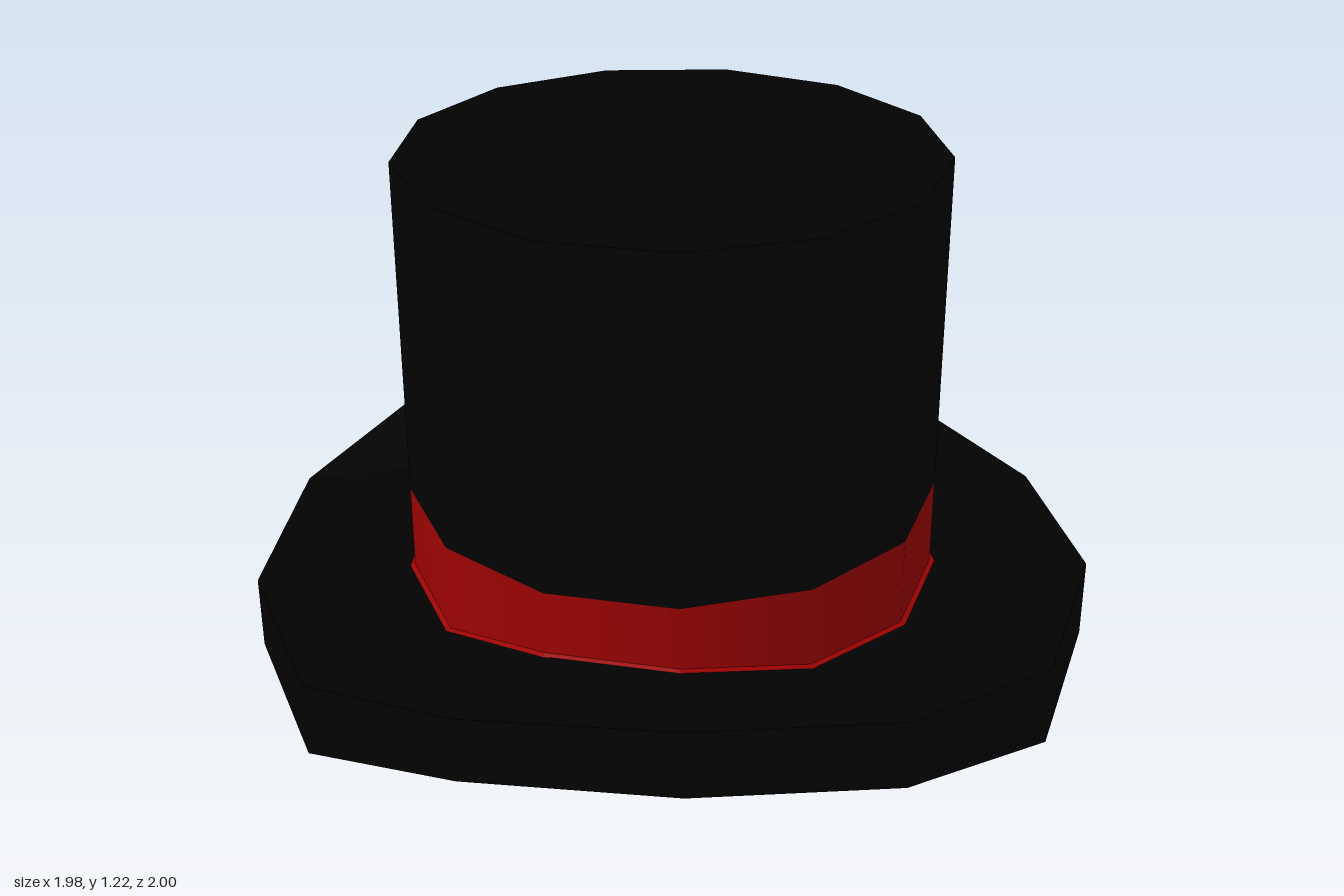
import * as THREE from 'three';

const SIDES = 13;

const black = new THREE.MeshStandardMaterial({ color: 0x020202, side: THREE.DoubleSide });
black.name = 'black felt';
const red = new THREE.MeshStandardMaterial({ color: 0x9c0202, side: THREE.DoubleSide });
red.name = 'red ribbon';

// Skin a list of rings ({ r, y: heights per side }) with faceted quads
function loftRings(rings) {
  const point = (i, k) => {
    const { r, y } = rings[i];
    const a = (k / SIDES) * Math.PI * 2;
    return [r * Math.cos(a), y[k % SIDES], r * Math.sin(a)];
  };
  const pos = [];
  for (let i = 0; i < rings.length - 1; i++) {
    for (let k = 0; k < SIDES; k++) {
      const a = point(i, k), b = point(i + 1, k), c = point(i + 1, k + 1), d = point(i, k + 1);
      pos.push(...a, ...b, ...c, ...a, ...c, ...d);
    }
  }
  const geo = new THREE.BufferGeometry();
  geo.setAttribute('position', new THREE.Float32BufferAttribute(pos, 3));
  geo.computeVertexNormals();
  return geo;
}

// Smooth upright wall whose lower edge follows the given heights per side
function wall(r, bottom, top) {
  const geo = new THREE.CylinderGeometry(r, r, 1, SIDES, 1, true, Math.PI / 2);
  const pos = geo.attributes.position;
  for (let i = 0; i <= SIDES; i++) {
    pos.setY(i, top);
    pos.setY(SIDES + 1 + i, bottom[(SIDES - i) % SIDES]);
  }
  return geo;
}

export function createModel() {
  const hat = new THREE.Group();
  hat.name = 'topHat';
  const add = (name, geo, mat) => {
    const mesh = new THREE.Mesh(geo, mat);
    mesh.name = name;
    mesh.position.x = -0.015;
    hat.add(mesh);
  };

  // Brim heights, from the +x corner round through the front; front and back curl up
  const outerTop = [0.195, 0.195, 0.285, 0.35, 0.31, 0.18, 0.18, 0.2, 0.27, 0.36, 0.305, 0.22, 0.18];
  const outerBottom = [0, 0, 0.12, 0.19, 0.155, 0, 0, 0, 0.1, 0.2, 0.16, 0.065, 0];
  const innerTop = [0.18, 0.18, 0.2, 0.24, 0.24, 0.18, 0.185, 0.19, 0.2, 0.23, 0.22, 0.18, 0.175];
  const innerBottom = [0, 0, 0, 0.05, 0.05, 0, 0, 0, 0, 0.05, 0.05, 0, 0];

  add('brim', loftRings([
    { r: 0.625, y: innerBottom },
    { r: 1.005, y: outerBottom },
    { r: 1.005, y: outerTop },
    { r: 0.625, y: innerTop },
  ]), black);

  // Crown wall and flat top
  add('crown', wall(0.629, Array(SIDES).fill(0.4), 1.215), black);
  const top = new THREE.CircleGeometry(0.629, SIDES).rotateX(-Math.PI / 2).translate(0, 1.215, 0);
  add('crownTop', top, black);

  // Ribbon with a thin lip resting on the brim
  add('ribbon', wall(0.629, innerTop, 0.4), red);
  add('ribbonLip', loftRings([
    { r: 0.641, y: innerTop.map((y) => y + 0.004) },
    { r: 0.629, y: innerTop.map((y) => y + 0.008) },
  ]), red);

  // Hollow inside
  add('lining', wall(0.625, innerBottom, 1.215), black);
  return hat;
}
